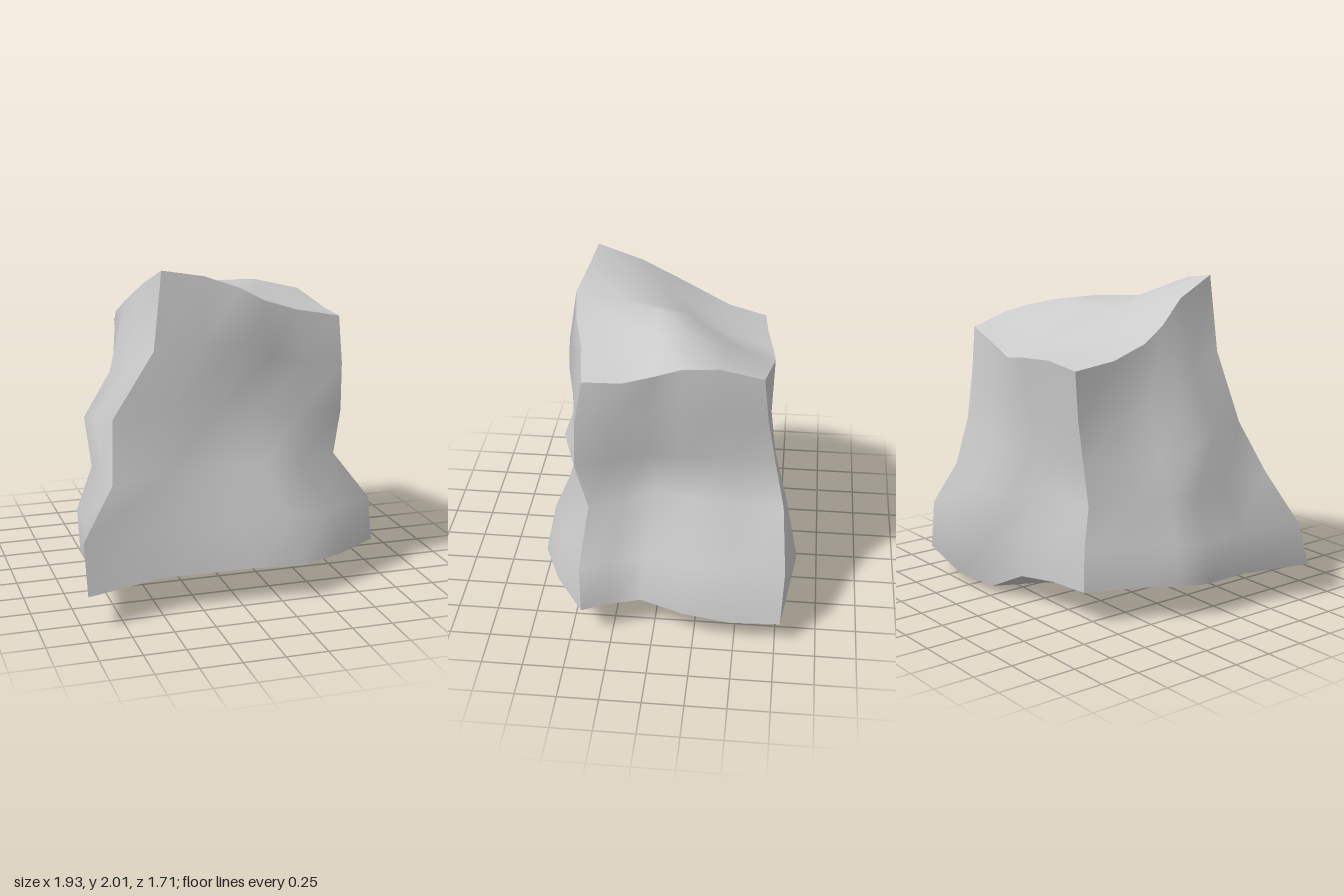
import * as THREE from 'three';

const N = 5; // segments along every edge

// Twelve edge lines of the rock, six points each
const line = (...p) => p.map((q) => new THREE.Vector3(...q));
const rev = (e) => [...e].reverse();
const topFront = line([-.42, 2, .47], [-.17, 1.96, .5], [.03, 1.89, .545], [.2, 1.8, .52], [.42, 1.725, .46], [.71, 1.665, .42]);
const topRight = line([.71, 1.665, .42], [.71, 1.67, .19], [.68, 1.71, 0], [.65, 1.745, -.15], [.6, 1.73, -.36], [.57, 1.66, -.62]);
const topBack = line([-.46, 1.53, -.59], [-.22, 1.56, -.61], [0, 1.55, -.65], [.12, 1.535, -.67], [.33, 1.6, -.65], [.57, 1.66, -.62]);
const topLeft = line([-.46, 1.53, -.59], [-.51, 1.57, -.35], [-.55, 1.655, -.15], [-.53, 1.745, 0], [-.46, 1.885, .2], [-.42, 2, .47]);
const frontLeft = line([-.42, 2, .47], [-.475, 1.53, .49], [-.72, 1.13, .46], [-.77, .79, .65], [-.97, .49, .75], [-.97, .2, .85]);
const frontRight = line([.71, 1.665, .42], [.715, 1.38, .47], [.71, 1.09, .48], [.7, .79, .405], [.93, .49, .44], [.965, .2, .43]);
const backRight = line([.57, 1.66, -.62], [.56, 1.38, -.65], [.545, 1.09, -.7], [.59, .79, -.765], [.84, .48, -.795], [.915, .15, -.78]);
const backLeft = line([-.46, 1.53, -.59], [-.44, 1.22, -.555], [-.45, .95, -.525], [-.47, .7, -.505], [-.52, .46, -.575], [-.53, .2, -.585]);
const baseFront = line([-.97, .2, .85], [-.48, .2, .69], [.08, .2, .7], [.38, .2, .74], [.67, .2, .62], [.965, .2, .43]);
const baseRight = line([.965, .2, .43], [.89, .2, .27], [.83, .2, .08], [.925, .19, -.19], [.92, .14, -.48], [.915, .15, -.78]);
const baseBack = line([-.53, .2, -.585], [-.26, .2, -.62], [.02, .165, -.66], [.27, .04, -.72], [.59, .055, -.77], [.915, .15, -.78]);
const baseLeft = line([-.53, .2, -.585], [-.66, .2, -.27], [-.79, .2, -.07], [-.86, .2, .1], [-.86, .2, .4], [-.97, .2, .85]);

// Smooth face blended between four edges; bumps are [u, v, dx, dy, dz]
function face(top, bottom, left, right, bumps) {
  const pos = [], index = [];
  for (let j = 0; j <= N; j++) {
    for (let i = 0; i <= N; i++) {
      const u = i / N, v = j / N;
      const p = new THREE.Vector3()
        .addScaledVector(top[i], 1 - v).addScaledVector(bottom[i], v)
        .addScaledVector(left[j], 1 - u).addScaledVector(right[j], u)
        .addScaledVector(top[0], -(1 - u) * (1 - v)).addScaledVector(top[N], -u * (1 - v))
        .addScaledVector(bottom[0], -(1 - u) * v).addScaledVector(bottom[N], -u * v);
      if (i % N && j % N) {
        for (const [bu, bv, ...d] of bumps) {
          p.addScaledVector(new THREE.Vector3(...d), Math.exp(-((u - bu) ** 2 + (v - bv) ** 2) / 0.05));
        }
      }
      pos.push(p.x, p.y, p.z);
      if (i < N && j < N) {
        const a = j * (N + 1) + i, c = a + N + 1;
        index.push(a, c, a + 1, a + 1, c, c + 1);
      }
    }
  }
  const g = new THREE.BufferGeometry();
  g.setAttribute('position', new THREE.Float32BufferAttribute(pos, 3));
  g.setIndex(index);
  g.computeVertexNormals();
  return g;
}

export function createModel() {
  const rock = new THREE.Group();
  rock.name = 'rock';
  const material = new THREE.MeshStandardMaterial({ color: 0xcccccc });
  const add = (name, ...args) => {
    const mesh = new THREE.Mesh(face(...args), material);
    mesh.name = name;
    rock.add(mesh);
  };
  add('frontFace', topFront, baseFront, frontLeft, frontRight, [[.42, .2, 0, .08, .065], [.5, .45, 0, 0, -.14]]);
  add('rightFace', topRight, baseRight, frontRight, backRight, [[.65, .2, .04, 0, 0], [.4, .6, -.05, 0, 0]]);
  add('backFace', rev(topBack), rev(baseBack), backRight, backLeft, [[.25, .8, 0, 0, -.085], [.55, .55, 0, 0, .055], [.5, .2, 0, 0, .02]]);
  add('leftFace', topLeft, baseLeft, backLeft, frontLeft, [[.67, .35, -.1, .05, .07], [.75, .55, -.03, 0, 0], [.6, .15, -.03, -.06, 0]]);
  add('topFace', topBack, topFront, topLeft, rev(topRight), [[.66, .5, 0, .2, 0], [.3, .75, 0, .03, 0]]);
  add('underside', baseFront, baseBack, rev(baseLeft), baseRight, [[.45, .8, 0, -.12, -.05], [.15, .8, 0, .06, 0], [.55, .45, 0, .06, 0]]);
  return rock;
}
